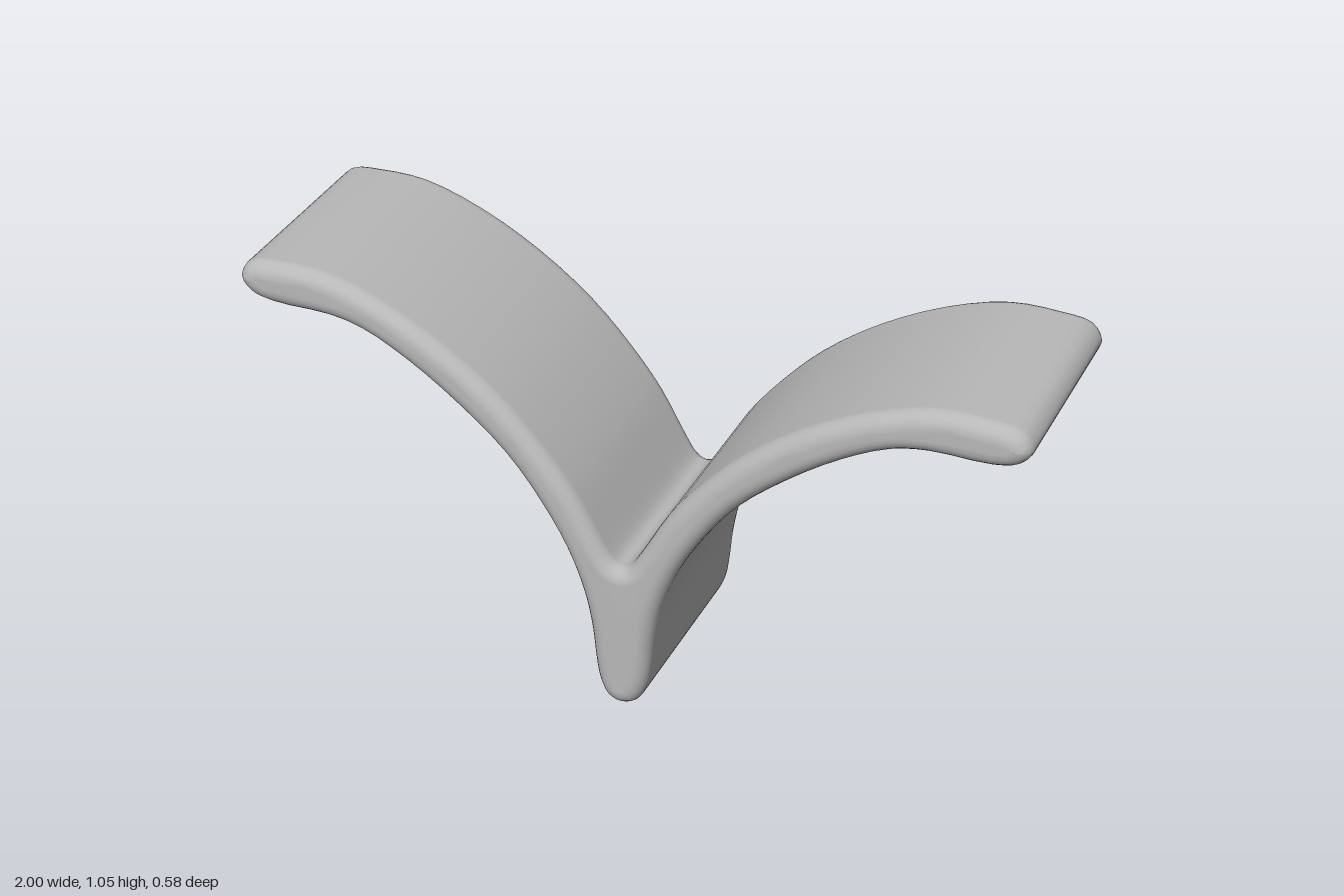
import * as THREE from 'three';
import { mergeVertices } from 'three/addons/utils/BufferGeometryUtils.js';

const DEPTH = 0.575; // overall front-to-back size
const ROUND = 0.04; // radius of the rounded edges

// Left half of the outline: bottom of the stem, under the wing, round its tip, back to the crotch
const half = [
  [0, 0.003], [0.038, 0.018], [0.06, 0.06], [0.072, 0.13], [0.08, 0.21], [0.1, 0.31],
  [0.145, 0.43], [0.215, 0.55], [0.3, 0.66], [0.42, 0.765], [0.55, 0.855], [0.67, 0.915],
  [0.76, 0.933], [0.91, 0.935], [0.97, 0.952], [0.998, 0.992], [0.97, 1.035], [0.89, 1.047],
  [0.765, 1.044], [0.61, 0.995], [0.45, 0.91], [0.31, 0.805], [0.2, 0.69], [0.12, 0.585],
  [0.05, 0.46], [0.022, 0.418], [0, 0.408],
];

export function createModel() {
  const grey = new THREE.MeshStandardMaterial({ color: 0xb8b8b8 });
  grey.name = 'plain grey';

  // Mirror the half outline and smooth it into one closed loop
  const mirrored = half.slice(1, -1).reverse().map(([x, y]) => [-x, y]);
  const points = [...half, ...mirrored].map(([x, y]) => new THREE.Vector3(x, y, 0));
  const loop = new THREE.CatmullRomCurve3(points, true, 'centripetal');
  const outline = loop.getPoints(points.length * 3).slice(0, -1);
  const shape = new THREE.Shape(outline.map((p) => new THREE.Vector2(p.x, p.y)));

  // Sweep the Y profile through its depth with soft edges
  let geometry = new THREE.ExtrudeGeometry(shape, {
    depth: DEPTH - 2 * ROUND,
    steps: 1,
    bevelEnabled: true,
    bevelThickness: ROUND,
    bevelSize: ROUND,
    bevelOffset: -ROUND,
    bevelSegments: 6,
  });
  geometry.translate(0, 0, ROUND - DEPTH / 2);

  // Weld the surface so that it shades smoothly
  geometry.deleteAttribute('normal');
  geometry.deleteAttribute('uv');
  geometry = mergeVertices(geometry, 1e-5);
  geometry.computeVertexNormals();

  const body = new THREE.Mesh(geometry, grey);
  body.name = 'curvedWingsAndStem';
  const group = new THREE.Group();
  group.name = 'curvedBracket';
  group.add(body);
  return group;
}
